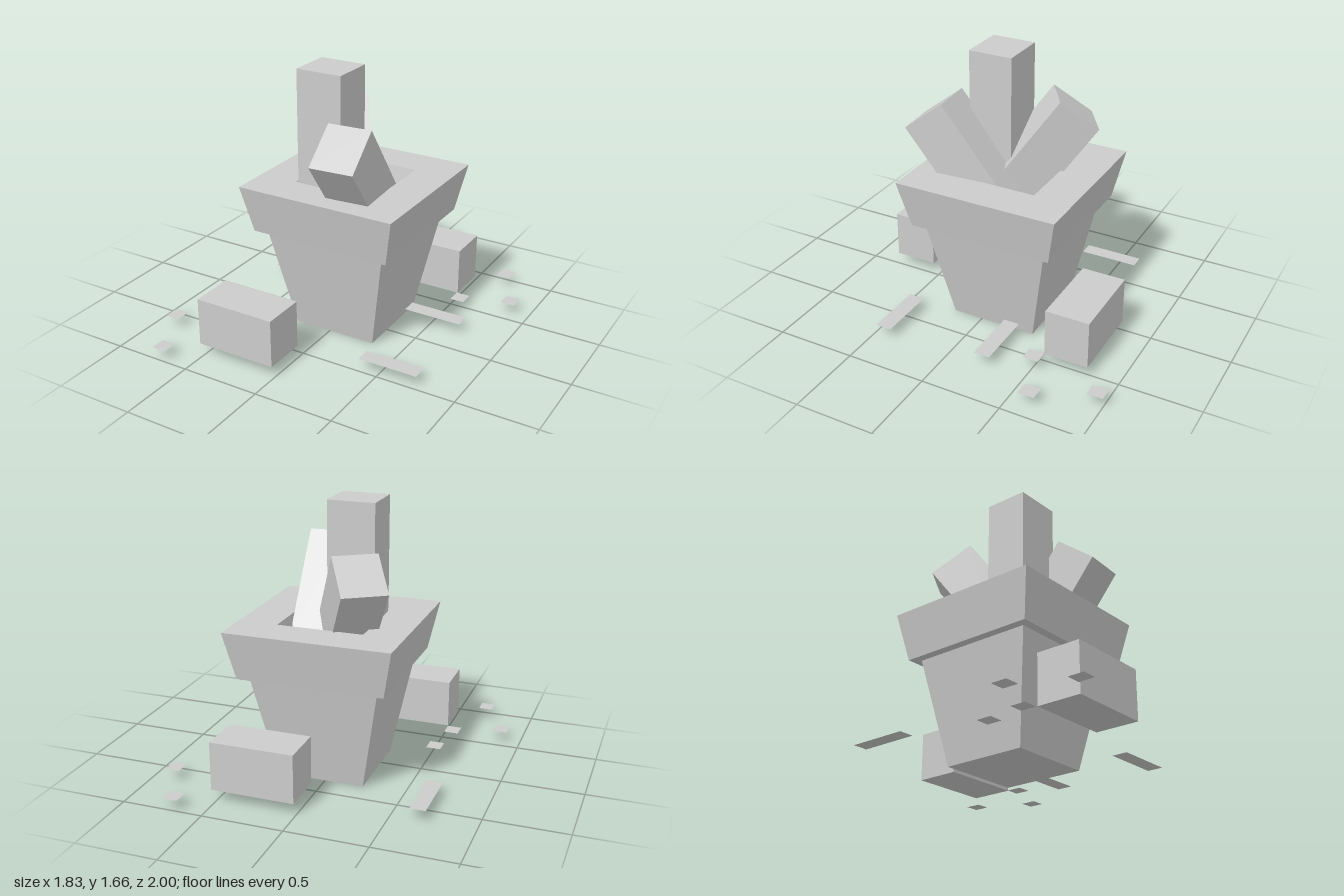
import * as THREE from 'three';

const material = new THREE.MeshStandardMaterial({ color: 0xcccccc, flatShading: true });
const thinMaterial = new THREE.MeshStandardMaterial({ color: 0xcccccc, flatShading: true, side: THREE.DoubleSide });

function addMesh(parent, name, geometry, x, y, z, mat = material) {
  const mesh = new THREE.Mesh(geometry, mat);
  mesh.name = name;
  mesh.position.set(x, y, z);
  parent.add(mesh);
  return mesh;
}

// Square pot turned from a [halfWidth, height] profile with four sides
function squareLathe(profile) {
  const points = profile.map(([half, y]) => new THREE.Vector2(half * Math.SQRT2, y));
  return new THREE.LatheGeometry(points, 4, Math.PI / 4).toNonIndexed();
}

// Stick hanging down from the centre of its top end
function addStick(parent, name, width, depth, length, top, tilt, yaw) {
  const geometry = new THREE.BoxGeometry(width, length, depth).translate(0, -length / 2, 0);
  const stick = addMesh(parent, name, geometry, ...top);
  stick.rotation.set(tilt, yaw, 0, 'YXZ');
}

export function createModel() {
  const model = new THREE.Group();
  model.name = 'pottedSticks';

  // Hollow tapered pot with an overhanging rim
  const profile = [
    [0, 0], [0.27, 0], [0.395, 0.66], [0.45, 0.66],
    [0.51, 0.955], [0.265, 0.955], [0.175, 0.5], [0, 0.5],
  ];
  addMesh(model, 'pot', squareLathe(profile), 0.03, 0, -0.08);

  // One upright and two leaning sticks
  addStick(model, 'uprightStick', 0.295, 0.275, 1.16, [-0.0675, 1.66, 0.053], 0, 0);
  addStick(model, 'frontStick', 0.272, 0.305, 0.66, [0.186, 1.305, 0.375], 0.66, 0.07);
  addStick(model, 'backStick', 0.275, 0.295, 0.66, [-0.22, 1.305, -0.36], 0.66, -2.56);

  // Blocks lying in front of and behind the pot
  for (const side of [1, -1]) {
    addMesh(model, side > 0 ? 'frontBlock' : 'backBlock',
      new THREE.BoxGeometry(0.515, 0.3, 0.273), -0.27 * side, 0.22, 0.679 * side);
  }

  // Flat flakes scattered around: x, z, width, depth
  const flakes = [
    [0.56, 0.43, 0.375, 0.1], [0.522, -0.225, 0.375, 0.1], [-0.662, -0.455, 0.095, 0.37],
    [0.695, -0.955], [0.865, -0.617], [0.567, -0.493],
    [-0.53, 0.215], [-0.575, 0.485], [-0.87, 0.61], [-0.7, 0.948],
  ];
  for (const [x, z, width = 0.09, depth = 0.098] of flakes) {
    const geometry = new THREE.PlaneGeometry(width, depth).rotateX(-Math.PI / 2);
    addMesh(model, 'flake', geometry, x, 0.07, z, thinMaterial);
  }

  return model;
}
